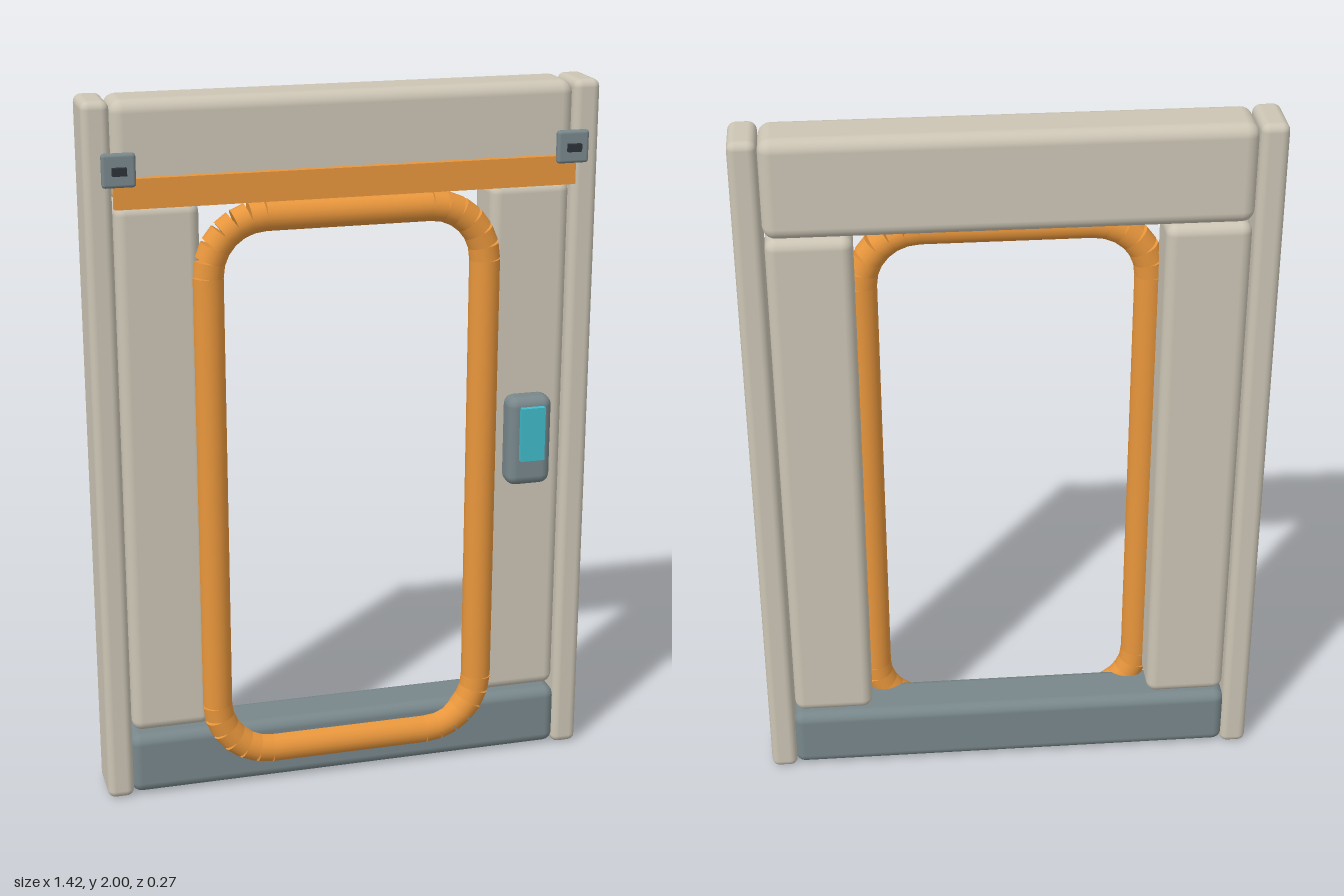
import * as THREE from 'three';
import { RoundedBoxGeometry } from 'three/addons/geometries/RoundedBoxGeometry.js';

const mat = (color) => new THREE.MeshStandardMaterial({ color });

export function createModel() {
  const model = new THREE.Group();
  const beige = mat(0xccc5b5), slate = mat(0x78878b), orange = mat(0xe8963c);
  const teal = mat(0x40bccb), dark = mat(0x2c3338);

  function add(name, geometry, material, x = 0, y = 0, z = 0, parent = model) {
    const mesh = new THREE.Mesh(geometry, material);
    mesh.name = name;
    mesh.position.set(x, y, z);
    parent.add(mesh);
    return mesh;
  }

  // Box given by its extents; r > 0 rounds the edges
  function block(name, material, [x0, x1], [y0, y1], [z0, z1], r = 0) {
    const w = x1 - x0, h = y1 - y0, d = z1 - z0;
    const geometry = r ? new RoundedBoxGeometry(w, h, d, 3, r) : new THREE.BoxGeometry(w, h, d);
    return add(name, geometry, material, (x0 + x1) / 2, (y0 + y1) / 2, (z0 + z1) / 2);
  }

  // Frame
  const depth = [-0.133, 0.028];
  block('topBeam', beige, [-0.635, 0.635], [1.725, 2], depth, 0.035);
  block('sill', slate, [-0.64, 0.64], [0.005, 0.185], [-0.13, 0.025], 0.03);
  for (const s of [-1, 1]) {
    const span = (a, b) => (s > 0 ? [a, b] : [-b, -a]);
    const side = s > 0 ? 'left' : 'right';
    block(side + 'Post', beige, span(0.635, 0.71), [0, 2], depth, 0.022);
    block(side + 'Panel', beige, span(0.405, 0.632), [0.2, 1.725], [-0.13, 0.025], 0.03);
    // Rail brackets with a small dark stud
    block(side + 'Bracket', slate, span(0.577, 0.667), [1.78, 1.87], [0.04, 0.063], 0.009);
    block(side + 'BracketStud', dark, span(0.603, 0.641), [1.814, 1.835], [0.058, 0.077]);
  }

  // Rail across the front
  block('rail', orange, [-0.635, 0.635], [1.72, 1.8], [0.026, 0.05]);

  // Seal ring: straight tubes joined by short segments round each corner
  const ring = new THREE.Group();
  ring.name = 'sealRing';
  ring.position.z = 0.021;
  model.add(ring);
  const tubeRadius = 0.0425, bend = 0.158, steps = 6;
  const up = new THREE.Vector3(0, 1, 0);
  function tube(name, a, b) {
    const dir = b.clone().sub(a);
    const mid = a.clone().add(b).multiplyScalar(0.5);
    const geometry = new THREE.CylinderGeometry(tubeRadius, tubeRadius, dir.length(), 20);
    add(name, geometry, orange, mid.x, mid.y, 0, ring)
      .quaternion.setFromUnitVectors(up, dir.normalize());
  }
  const corners = [[0.23, 1.52], [-0.23, 1.52], [-0.23, 0.262], [0.23, 0.262]];
  const path = corners.flatMap(([cx, cy], c) =>
    Array.from({ length: steps + 1 }, (_, i) => {
      const t = (c + i / steps) * Math.PI / 2;
      return new THREE.Vector3(cx + bend * Math.cos(t), cy + bend * Math.sin(t), 0);
    }));
  path.forEach((p, i) => {
    const straight = i % (steps + 1) === steps;
    tube(straight ? 'sealTube' : 'sealCornerSegment', p, path[(i + 1) % path.length]);
  });

  // Control box with its screen
  block('controlBox', slate, [0.44, 0.568], [0.875, 1.135], [0.04, 0.117], 0.028);
  block('controlScreen', teal, [0.47, 0.54], [0.955, 1.11], [0.1, 0.133]);

  return model;
}
